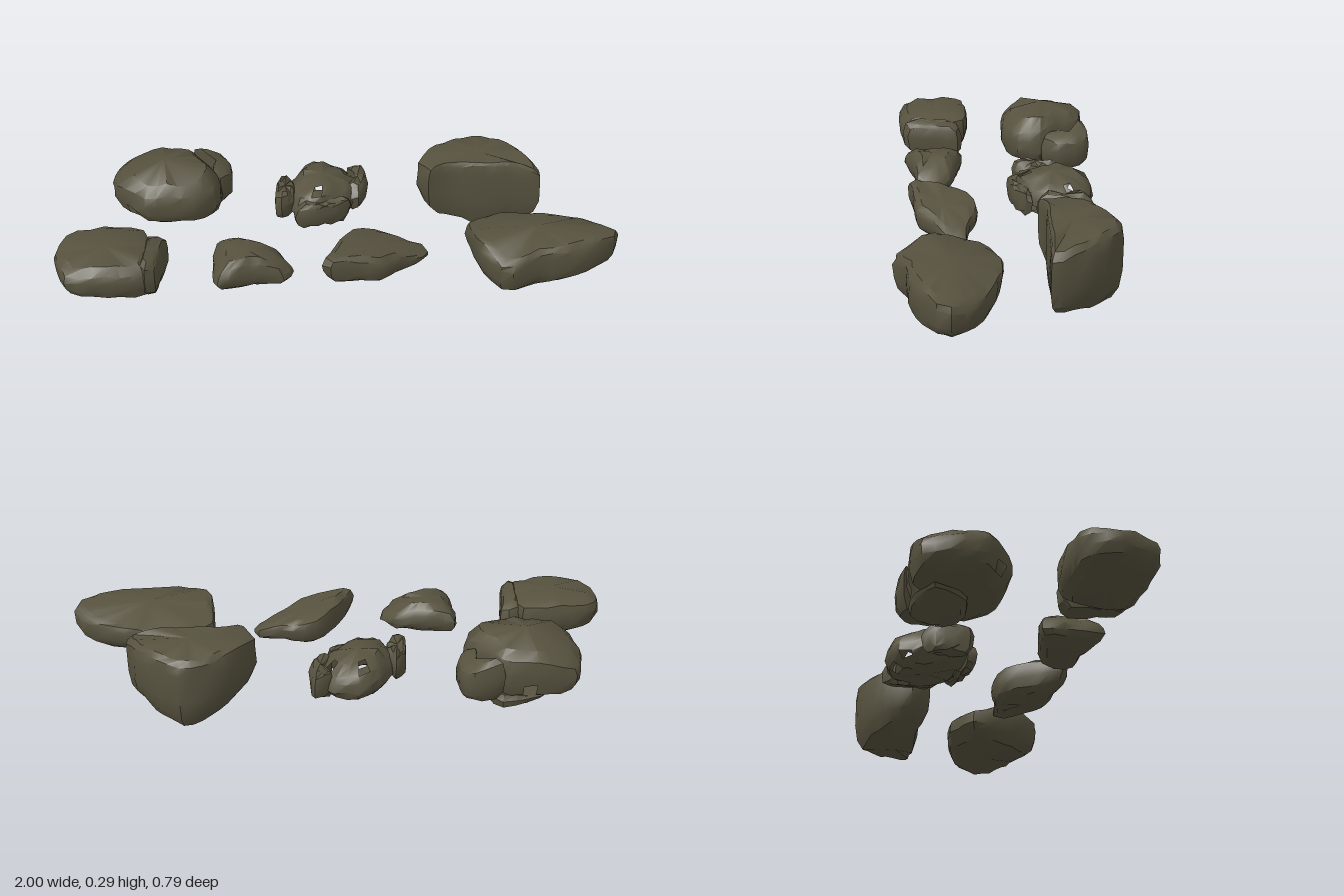
import * as THREE from 'three';
import { toCreasedNormals } from 'three/addons/utils/BufferGeometryUtils.js';

const stone = new THREE.MeshStandardMaterial({ color: 0x57523f });
stone.name = 'olive stone';
stone.side = THREE.DoubleSide;

// Small seeded random, -1..1
function makeRandom(seed) {
  let s = seed * 7919 + 17;
  return () => {
    s = (s * 16807) % 2147483647;
    return (s / 2147483647) * 2 - 1;
  };
}

// Piecewise linear lookup in a list of [position, value]
function profileAt(points, x) {
  if (x <= points[0][0]) return points[0][1];
  for (let i = 1; i < points.length; i++) {
    const [x0, y0] = points[i - 1], [x1, y1] = points[i];
    if (x <= x1) return THREE.MathUtils.lerp(y0, y1, (x - x0) / (x1 - x0));
  }
  return points[points.length - 1][1];
}

const flat = (y) => [[0, y]];

// Stacked rings: [height fraction, outline scale]
const ROUND = [[0, 0.68], [0.12, 0.9], [0.35, 1], [0.62, 0.98], [0.85, 0.86], [1, 0.58]];
const BLOCK = [[0, 0.7], [0.14, 0.91], [0.4, 0.99], [0.7, 1], [0.9, 0.95], [1, 0.76]];
const CUBE = [[0, 0.78], [0.15, 0.93], [0.4, 1], [0.8, 1], [0.95, 0.97], [1, 0.86]];
const SHARD = [[0, 0.75], [0.2, 0.95], [0.6, 1], [0.9, 0.9], [1, 0.65]];

// A stone lofted from a plan outline [x, z]. Heights follow bottom and top along x,
// plus the offsets bottomZ and topZ along z. gaps lists missing faces as [ring, side].
function rockGeometry({ outline, top, bottom, topZ = flat(0), bottomZ = flat(0), rings = ROUND,
  sides = 22, rough = 0.025, gaps = [], seed }) {
  const rnd = makeRandom(seed);
  const curve = new THREE.CatmullRomCurve3(
    outline.map(([x, z]) => new THREE.Vector3(x, 0, z)), true, 'catmullrom', 0.25);
  const plan = curve.getSpacedPoints(sides).slice(0, sides);
  const centre = plan.reduce((c, p) => c.add(p), new THREE.Vector3()).divideScalar(sides);
  const pos = [], index = [];
  const addPoint = (x, t, z, lift = 0) => {
    const lo = profileAt(bottom, x) + profileAt(bottomZ, z);
    const hi = profileAt(top, x) + profileAt(topZ, z);
    pos.push(x, lo + (hi - lo) * t + lift, z);
  };
  for (const [t, scale] of rings) {
    for (const p of plan) {
      const k = scale * (1 + rough * (rnd() - 0.4));
      addPoint(centre.x + (p.x - centre.x) * k, t, centre.z + (p.z - centre.z) * k, rnd() * rough * 0.2);
    }
  }
  const low = pos.length / 3, high = low + 1, last = (rings.length - 1) * sides;
  addPoint(centre.x, 0, centre.z);
  addPoint(centre.x, 1, centre.z);
  for (let j = 0; j < sides; j++) {
    const n = (j + 1) % sides;
    for (let i = 0; i < rings.length - 1; i++) {
      if (gaps.some(([r, s]) => r === i && s === j)) continue;
      const a = i * sides + j, b = i * sides + n;
      index.push(a, a + sides, b, b, a + sides, b + sides);
    }
    index.push(low, j, n, high, last + n, last + j);
  }
  const g = new THREE.BufferGeometry();
  g.setAttribute('position', new THREE.Float32BufferAttribute(pos, 3));
  g.setIndex(index);
  return toCreasedNormals(g, 0.6);
}

const ROCKS = {
  // Front row
  frontLeftRock: [
    { outline: [[-1, 0.2], [-0.95, 0.09], [-0.8, 0.07], [-0.68, 0.085], [-0.64, 0.2], [-0.66, 0.34], [-0.8, 0.36], [-0.94, 0.345]],
      top: [[-1, 0.19], [-0.93, 0.208], [-0.8, 0.22], [-0.64, 0.2]], topZ: [[0.28, 0], [0.36, -0.025]],
      bottom: [[-1, 0.1], [-0.85, 0.075], [-0.64, 0.06]], rings: BLOCK },
    { outline: [[-0.67, 0.11], [-0.61, 0.1], [-0.6, 0.12], [-0.615, 0.2], [-0.64, 0.33], [-0.69, 0.34], [-0.68, 0.2]],
      top: [[-0.68, 0.205], [-0.6, 0.18]], bottom: [[-0.68, 0.07], [-0.6, 0.055]], rings: SHARD, sides: 14 },
  ],
  frontSmallRock: [
    { outline: [[-0.44, 0.15], [-0.42, 0.11], [-0.3, 0.135], [-0.2, 0.17], [-0.155, 0.24], [-0.18, 0.3], [-0.3, 0.31], [-0.36, 0.335], [-0.435, 0.335]],
      top: [[-0.44, 0.16], [-0.36, 0.192], [-0.28, 0.188], [-0.16, 0.13]], bottom: [[-0.44, 0.083], [-0.16, 0.075]] },
  ],
  frontMiddleRock: [
    { outline: [[-0.06, 0.31], [0, 0.2], [0.08, 0.1], [0.17, 0.09], [0.25, 0.13], [0.33, 0.14], [0.325, 0.2], [0.23, 0.25], [0.15, 0.31], [0.05, 0.32], [-0.04, 0.335]],
      top: [[-0.06, 0.2], [0.02, 0.2], [0.12, 0.175], [0.22, 0.15], [0.33, 0.115]],
      bottom: [[-0.06, 0.095], [0.03, 0.078], [0.15, 0.068], [0.33, 0.075]], rings: BLOCK },
  ],
  frontRightRock: [
    { outline: [[0.475, 0.1], [0.55, 0.06], [0.61, 0.035], [0.77, 0.06], [0.92, 0.12], [1, 0.2], [0.995, 0.26], [0.9, 0.315], [0.79, 0.35], [0.7, 0.355], [0.57, 0.4], [0.485, 0.27]],
      top: [[0.48, 0.222], [0.6, 0.245], [0.75, 0.24], [0.9, 0.23], [1, 0.215]],
      topZ: [[0.04, -0.065], [0.14, -0.035], [0.24, 0], [0.3, -0.005], [0.4, -0.06]],
      bottom: [[0.48, 0.08], [0.6, 0.055], [0.8, 0.065], [1, 0.082]], bottomZ: [[0.04, 0.04], [0.12, 0.01], [0.25, 0]],
      rings: CUBE, sides: 28 },
  ],
  // Back row
  backLeftRock: [
    { outline: [[-0.82, -0.25], [-0.78, -0.38], [-0.65, -0.395], [-0.51, -0.37], [-0.47, -0.28], [-0.4, -0.19], [-0.43, -0.1], [-0.52, -0.055], [-0.68, -0.06], [-0.8, -0.16]],
      top: [[-0.82, 0.22], [-0.72, 0.272], [-0.61, 0.3], [-0.46, 0.275], [-0.4, 0.225]],
      topZ: [[-0.4, -0.05], [-0.28, -0.01], [-0.15, 0], [-0.05, -0.07]],
      bottom: [[-0.82, 0.11], [-0.65, 0.085], [-0.4, 0.08]], bottomZ: [[-0.35, -0.01], [-0.15, 0], [-0.05, 0.01]],
      rings: BLOCK, sides: 26, gaps: [[0, 6], [1, 6], [0, 7], [1, 22]] },
    { outline: [[-0.52, -0.385], [-0.42, -0.4], [-0.37, -0.35], [-0.37, -0.25], [-0.41, -0.2], [-0.45, -0.23], [-0.42, -0.31]],
      top: [[-0.5, 0.25], [-0.37, 0.2]], bottom: flat(0.09), rings: SHARD, sides: 16 },
    // Thin slab left hanging under the back
    { outline: [[-0.7, -0.32], [-0.6, -0.37], [-0.5, -0.36], [-0.47, -0.26], [-0.52, -0.18], [-0.64, -0.2]],
      top: [[-0.7, 0.09], [-0.47, 0.1]], bottom: [[-0.7, 0.07], [-0.48, 0.03]], rings: SHARD, sides: 14 },
  ],
  // Cracked, hollow stone with loose shards on its rim
  backMiddleRock: [
    { outline: [[-0.17, -0.15], [-0.14, -0.25], [-0.09, -0.325], [-0.02, -0.355], [0.06, -0.33], [0.12, -0.27], [0.11, -0.16], [0.05, -0.1], [-0.04, -0.06], [-0.13, -0.07]],
      top: [[-0.17, 0.2], [-0.05, 0.23], [0.05, 0.205], [0.12, 0.18]], topZ: [[-0.35, -0.03], [-0.22, 0], [-0.08, -0.02]],
      bottom: [[-0.17, 0.09], [0, 0.075], [0.12, 0.08]], rough: 0.04, sides: 20,
      gaps: [[1, 3], [4, 5], [0, 5], [4, 9], [0, 9], [1, 13], [4, 16], [0, 16]] },
    { outline: [[0.07, -0.3], [0.14, -0.335], [0.15, -0.22], [0.1, -0.12], [0.06, -0.16], [0.1, -0.24]],
      top: flat(0.18), bottom: flat(0.085), rings: SHARD, sides: 14, rough: 0.05 },
    { outline: [[-0.14, -0.075], [-0.06, -0.1], [0.05, -0.12], [0.09, -0.11], [0, -0.05], [-0.13, -0.035]],
      top: flat(0.17), bottom: flat(0.08), rings: SHARD, sides: 14, rough: 0.05 },
    { outline: [[-0.21, -0.08], [-0.2, -0.2], [-0.16, -0.25], [-0.13, -0.19], [-0.14, -0.1], [-0.18, -0.06]],
      top: flat(0.2), bottom: flat(0.1), rings: SHARD, sides: 14, rough: 0.05 },
  ],
  backRightRock: [
    { outline: [[0.33, -0.18], [0.38, -0.26], [0.48, -0.34], [0.58, -0.365], [0.68, -0.31], [0.75, -0.22], [0.8, -0.1], [0.7, -0.105], [0.55, -0.11], [0.42, -0.12], [0.36, -0.1]],
      top: [[0.33, 0.27], [0.4, 0.287], [0.65, 0.29], [0.74, 0.275], [0.8, 0.24]], topZ: [[-0.36, -0.02], [-0.25, 0]],
      bottom: [[0.33, 0.1], [0.45, 0.05], [0.58, 0.004], [0.79, 0.045]],
      rings: CUBE, sides: 28 },
  ],
};

export function createModel() {
  const model = new THREE.Group();
  model.name = 'rocks';
  let seed = 3;
  for (const [name, pieces] of Object.entries(ROCKS)) {
    const rock = new THREE.Group();
    rock.name = name;
    pieces.forEach((piece, i) => {
      const mesh = new THREE.Mesh(rockGeometry({ ...piece, seed: seed++ }), stone);
      mesh.name = i === 0 ? 'body' : 'shard' + i;
      rock.add(mesh);
    });
    model.add(rock);
  }
  return model;
}
